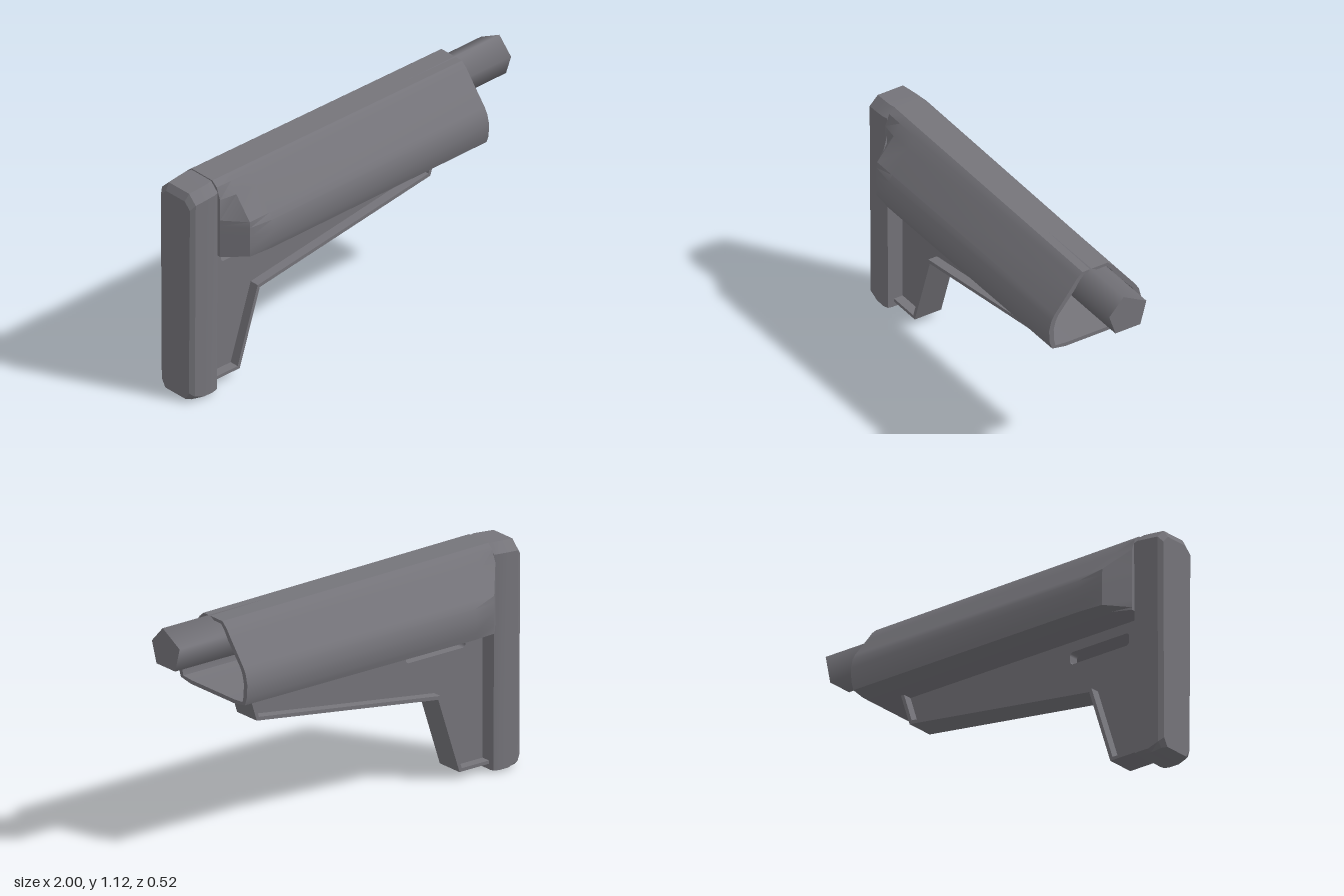
import * as THREE from 'three';
import { toCreasedNormals } from 'three/addons/utils/BufferGeometryUtils.js';

// Skin a list of sections [x, [[z, y], ...]]; loops run top -> +z -> bottom -> -z.
function loft(sections, capped, crease = 0.3) {
  const pos = [];
  const n = sections[0][1].length;
  const at = (i, j) => {
    const [x, pts] = sections[i];
    const [z, y] = pts[j % n];
    return [x, y, z];
  };
  for (let i = 0; i < sections.length - 1; i++) {
    for (let j = 0; j < n; j++) {
      const a = at(i, j), b = at(i, j + 1), c = at(i + 1, j), d = at(i + 1, j + 1);
      pos.push(...a, ...b, ...c, ...b, ...d, ...c);
    }
  }
  if (capped) {
    const last = sections.length - 1;
    for (let j = 1; j < n - 1; j++) {
      pos.push(...at(last, 0), ...at(last, j), ...at(last, j + 1));
      pos.push(...at(0, 0), ...at(0, j + 1), ...at(0, j));
    }
  }
  const geo = new THREE.BufferGeometry();
  geo.setAttribute('position', new THREE.Float32BufferAttribute(pos, 3));
  return toCreasedNormals(geo, crease);
}

// Complete a half section (+z side, top to bottom) with its mirror image.
const mirror = (half) => [...half, ...half.map(([z, y]) => [-z, y]).reverse()];

// Flat plate in the xy plane, centred on z = 0.
function plate(shape, thickness) {
  const geo = new THREE.ExtrudeGeometry(shape, { depth: thickness, bevelEnabled: false, curveSegments: 6 });
  return geo.translate(0, 0, -thickness / 2);
}

const toShape = (pts) => new THREE.Shape(pts.map(([x, y]) => new THREE.Vector2(x, y)));

export function createModel() {
  const group = new THREE.Group();
  const grey = new THREE.MeshStandardMaterial({ color: 0x75747a });
  grey.name = 'grey polymer';
  const add = (name, geo) => {
    const mesh = new THREE.Mesh(geo, grey);
    mesh.name = name;
    group.add(mesh);
  };

  // Hollow upper housing: outer skin to the front, then back along the inner skin
  const outer = [[0.07, 1.115], [0.1, 1.09], [0.135, 1.04], [0.225, 0.93], [0.243, 0.9],
    [0.256, 0.85], [0.252, 0.785], [0.238, 0.746], [0.165, 0.733], [0.11, 0.733]];
  const inner = [[0.06, 1.1], [0.085, 1.075], [0.115, 1.025], [0.205, 0.92], [0.22, 0.89],
    [0.23, 0.85], [0.228, 0.79], [0.22, 0.757], [0.155, 0.752], [0.1, 0.752]];
  const skin = (half, x, limit) => {
    const t = (x + 0.84) / 1.56;
    return [x, mirror(half.map(([z, y]) =>
      [Math.min(z, limit) * (1.01 - 0.02 * t), y + (y > 1.05 ? 0.008 - 0.013 * t : 0)]))];
  };
  const stations = [[-0.835, 0.122], [-0.745, 0.228], [-0.62, 0.26], [0.725, 0.26]];
  const shell = [
    ...stations.map(([x, w]) => skin(outer, x, w)),
    ...stations.map(([x, w]) => skin(inner, x, w - 0.02)).reverse(),
  ];
  shell.push(shell[0]);
  add('housing', loft(shell, false, 0.45));

  // Five-sided tube through the housing
  const pentagon = [[0.025, 1.113], [0.104, 1.03], [0.07, 0.927], [-0.067, 0.927], [-0.1, 1.045]];
  add('tube', loft([[-0.85, pentagon], [1, pentagon]], true, 1.4));

  // Butt pad with chamfered edges; the rear lower corners are cut away
  const pad = (x, w, bottom, top, c, lift) => [x, mirror([
    [w - c, top], [w, top - c], [w - 0.006, bottom + lift], [w - 0.03, bottom]])];
  add('buttPad', loft([
    pad(-1, 0.098, 0.01, 1.075, 0.035, 0.04),
    pad(-0.978, 0.114, 0.006, 1.11, 0.045, 0.025),
    pad(-0.92, 0.117, 0, 1.115, 0.045, 0.01),
    pad(-0.865, 0.118, 0.006, 1.12, 0.045, 0.005),
    pad(-0.838, 0.111, 0.01, 1.12, 0.045, 0.003),
  ], true));

  // Recessed web with a rounded sling slot
  const edge = [[-0.85, 0.037], [-0.665, 0.037], [-0.54, 0.422], [0.525, 0.574], [0.58, 0.745]];
  const lip = [[-0.85, 0.053], [-0.678, 0.053], [-0.553, 0.438], [0.513, 0.59], [0.562, 0.745]];
  const web = toShape([...lip, [-0.85, 0.745]]);
  const slot = new THREE.Path();
  const r = 0.018, x0 = -0.738, x1 = -0.388, y0 = 0.62, y1 = 0.682;
  slot.absarc(x0 + r, y0 + r, r, Math.PI * 1.5, Math.PI, true);
  slot.absarc(x0 + r, y1 - r, r, Math.PI, Math.PI / 2, true);
  slot.absarc(x1 - r, y1 - r, r, Math.PI / 2, 0, true);
  slot.absarc(x1 - r, y0 + r, r, 0, -Math.PI / 2, true);
  slot.closePath();
  web.holes.push(slot);
  add('web', plate(web, 0.05));

  // Raised rim along the lower edge of the web
  add('webRim', plate(toShape([...edge, ...[...lip].reverse()]), 0.145));

  return group;
}
